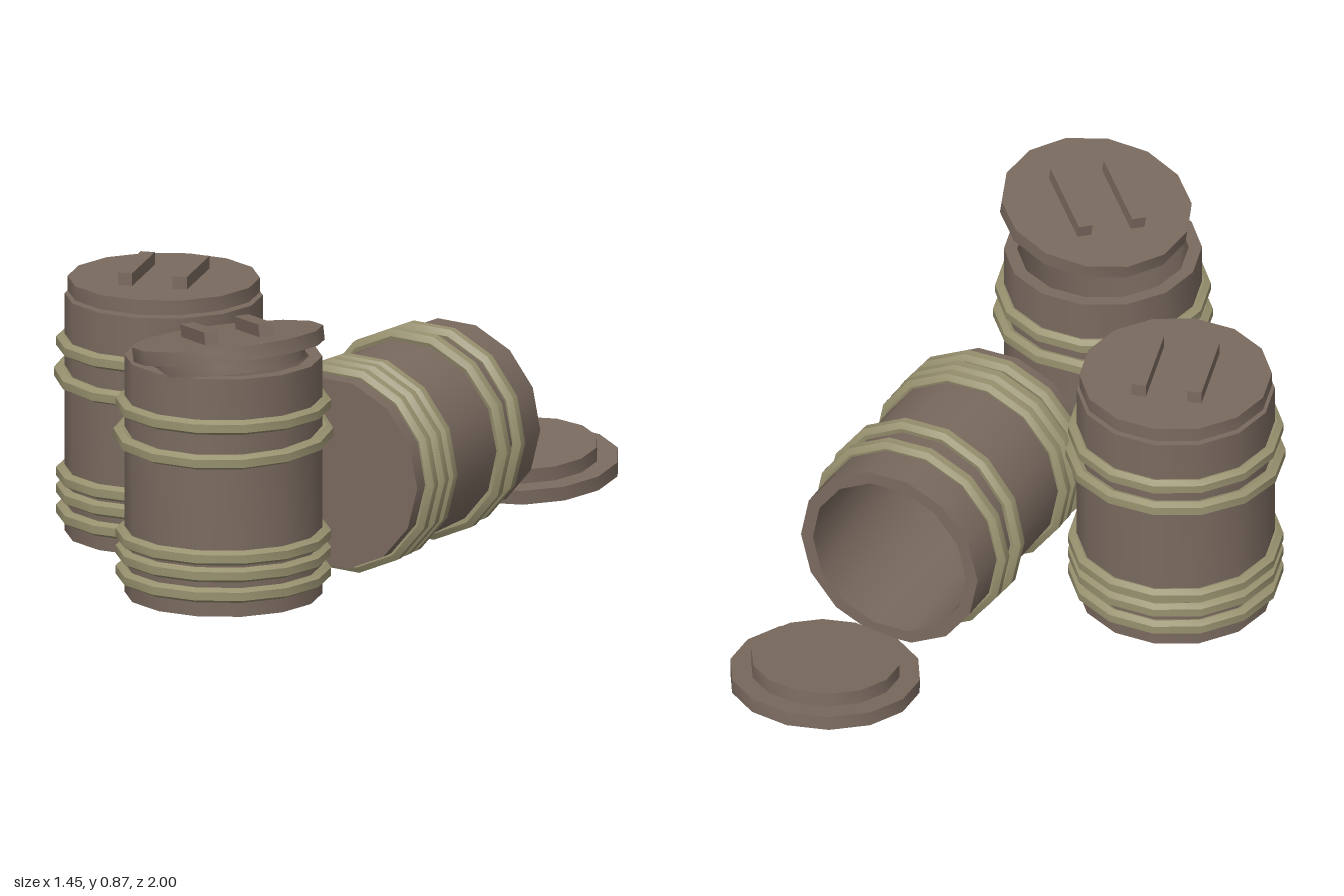
import * as THREE from 'three';
import { toCreasedNormals } from 'three/addons/utils/BufferGeometryUtils.js';

const SIDES = 14;
const UP = new THREE.Vector3(0, 1, 0);

// Faceted turned shape, smooth around the axis and sharp at its rims
function turned(profile) {
  const points = profile.map(([r, y]) => new THREE.Vector2(r, y));
  return toCreasedNormals(new THREE.LatheGeometry(points, SIDES), 0.6);
}

export function createModel() {
  const model = new THREE.Group();
  model.name = 'barrels';
  const wood = new THREE.MeshStandardMaterial({ color: 0x7a6a5f });
  const brass = new THREE.MeshStandardMaterial({ color: 0x98916f });

  const bodyGeometry = turned([[0, 0], [0.283, 0], [0.283, 0.7], [0.245, 0.7], [0.245, 0.04], [0, 0.04]]);
  const hoopGeometry = turned([
    [0.268, -0.016], [0.29, -0.022], [0.308, -0.012], [0.308, 0.012], [0.29, 0.022], [0.268, 0.016],
  ]);
  const lidGeometry = turned([[0, -0.042], [0.215, -0.042], [0.215, 0], [0.275, 0], [0.275, 0.042], [0, 0.042]]);
  const handleGeometry = new THREE.BoxGeometry(0.042, 0.04, 0.25);

  function addMesh(parent, name, geometry, material) {
    const mesh = new THREE.Mesh(geometry, material);
    mesh.name = name;
    parent.add(mesh);
    return mesh;
  }

  // Place a group so that its own up axis follows the given direction
  function place(group, position, axis, yaw = 0) {
    group.position.set(...position);
    group.quaternion.setFromUnitVectors(UP, new THREE.Vector3(...axis).normalize());
    group.rotateY(yaw);
    model.add(group);
  }

  // Hollow barrel with three hoops low and two high, one slightly askew
  function barrel(name, position, axis) {
    const group = new THREE.Group();
    group.name = name;
    addMesh(group, 'body', bodyGeometry, wood);
    for (const [y, tilt] of [[0.065, 0], [0.125, 0], [0.175, 0], [0.473, 0.05], [0.56, 0]]) {
      const hoop = addMesh(group, 'hoop', hoopGeometry, brass);
      hoop.position.y = y;
      hoop.rotation.x = tilt;
      if (tilt) hoop.scale.set(1.02, 1, 1.02);
    }
    place(group, position, axis);
  }

  // Lid with a plug beneath and two bar handles on top
  function lid(name, position, axis, yaw) {
    const group = new THREE.Group();
    group.name = name;
    addMesh(group, 'plate', lidGeometry, wood);
    for (const side of [-1, 1]) {
      addMesh(group, 'handle', handleGeometry, wood).position.set(side * 0.081, 0.059, 0);
    }
    place(group, position, axis, yaw);
  }

  // Closed barrel
  barrel('closedBarrel', [-0.415, 0.035, 0], [0, 1, 0]);
  lid('closedLid', [-0.415, 0.744, 0], [0, 1, 0], 0);

  // Barrel with its lid knocked askew
  barrel('openBarrel', [-0.07, 0.035, 0.625], [0, 1, 0]);
  lid('askewLid', [-0.025, 0.777, 0.728], [-0.14, 1, -0.09], 0.55);

  // Barrel on its side, its lid lying upside down behind it
  barrel('fallenBarrel', [0.15, 0.31, 0.255], [0.18, 0.015, -0.67]);
  lid('fallenLid', [0.453, 0.13, -0.728], [0, -1, -0.11], 0.2);

  return model;
}
